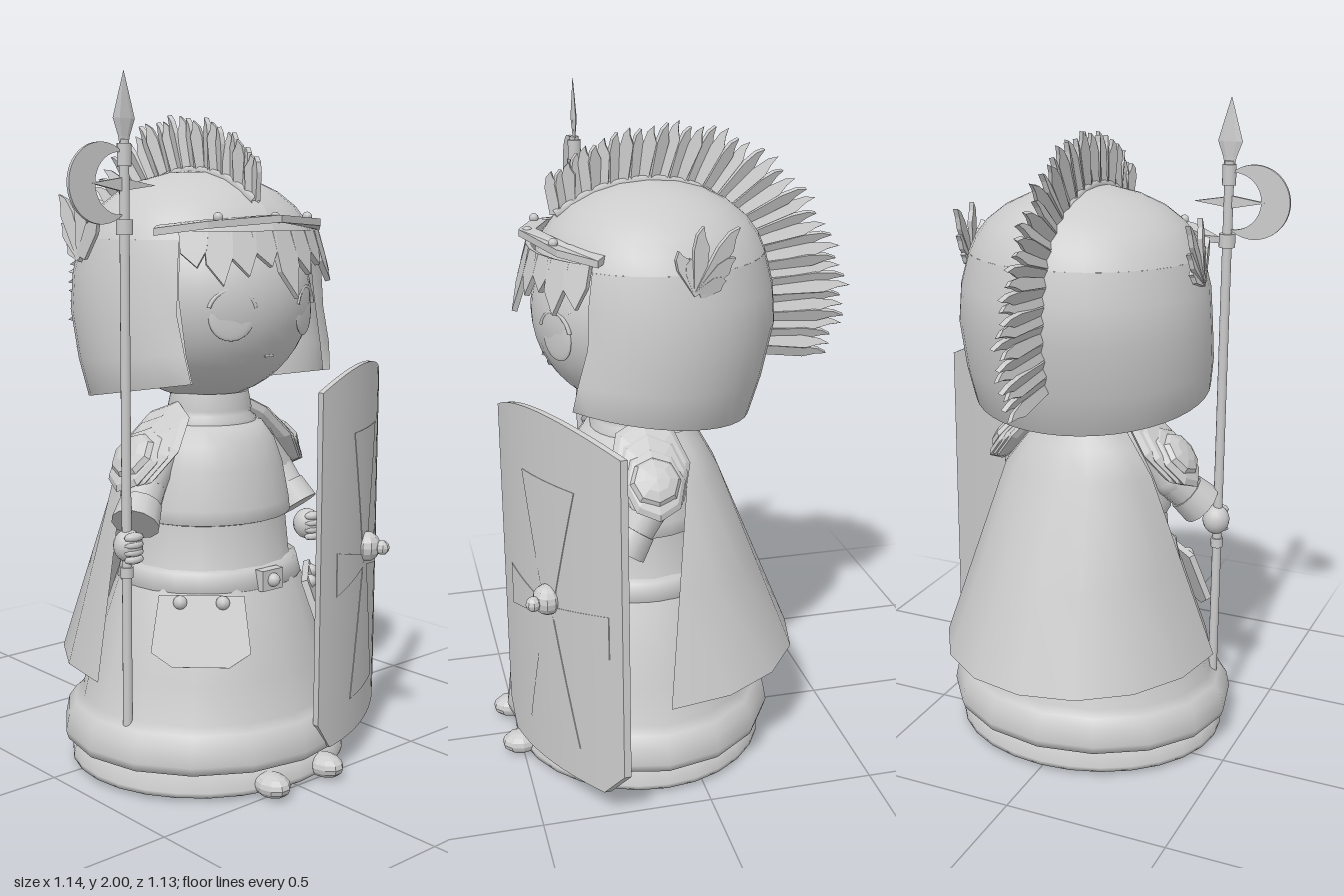
import * as THREE from 'three';

const V = (x, y, z) => new THREE.Vector3(x, y, z);
const smooth = new THREE.MeshStandardMaterial({ color: 0xcccccc, side: THREE.DoubleSide });
const flat = new THREE.MeshStandardMaterial({ color: 0xcccccc, side: THREE.DoubleSide, flatShading: true });

export function createModel() {
  const root = new THREE.Group();

  const add = (name, geo, pos = [0, 0, 0], mat = smooth, parent = root) => {
    const m = new THREE.Mesh(geo, mat);
    m.name = name;
    m.position.set(...pos);
    parent.add(m);
    return m;
  };
  const group = (name) => {
    const g = new THREE.Group();
    g.name = name;
    root.add(g);
    return g;
  };
  const lathe = (pts, seg, start = 0, len = Math.PI * 2) =>
    new THREE.LatheGeometry(pts.map((p) => new THREE.Vector2(...p)), seg, start, len);
  const plate = (pts, depth) =>
    new THREE.ExtrudeGeometry(new THREE.Shape(pts.map((p) => new THREE.Vector2(...p))), { depth, bevelEnabled: false });
  const ball = (name, pos, r, scale = [1, 1, 1], parent = root, mat = smooth, w = 16, h = 12) => {
    const m = add(name, new THREE.SphereGeometry(r, w, h), pos, mat, parent);
    m.scale.set(...scale);
    return m;
  };
  const limb = (name, a, b, ra, rb, parent = root, seg = 12) => {
    const d = b.clone().sub(a);
    const m = add(name, new THREE.CylinderGeometry(rb, ra, d.length(), seg), a.clone().add(b).multiplyScalar(0.5).toArray(), smooth, parent);
    m.quaternion.setFromUnitVectors(V(0, 1, 0), d.normalize());
  };
  const warp = (geo, fn) => {
    const p = geo.attributes.position, v = V(0, 0, 0);
    for (let i = 0; i < p.count; i++) {
      fn(v.fromBufferAttribute(p, i));
      p.setXYZ(i, v.x, v.y, v.z);
    }
    geo.computeVertexNormals();
    return geo;
  };
  // Pointed feather from base to tip, its broad side facing x, turned by twist
  const feather = (name, base, tip, w, parent, twist = 0) => {
    const dir = tip.clone().sub(base), l = dir.length();
    dir.normalize();
    const geo = plate([[-w * 0.35, 0], [w * 0.35, 0], [w * 0.5, l * 0.7], [w * 0.2, l * 0.86], [w * 0.1, l], [-w * 0.3, l * 0.88], [-w * 0.5, l * 0.65]], 0.014);
    geo.translate(0, 0, -0.007);
    geo.rotateY(twist);
    const m = add(name, geo, base.toArray(), flat, parent);
    const n = V(1, 0, 0).addScaledVector(dir, -dir.x).normalize();
    m.quaternion.setFromRotationMatrix(new THREE.Matrix4().makeBasis(dir.clone().cross(n), dir, n));
  };

  // Base, dress and neck
  const oval = (name, pts, seg = 24) => add(name, lathe(pts, seg), [0, 0, 0.115]).scale.set(1, 1, 0.91);
  oval('base', [[0, 0.012], [0.43, 0.012], [0.43, 0.025], [0.415, 0.085], [0, 0.085]], 28);
  oval('skirt', [[0.4, 0.08], [0.45, 0.085], [0.458, 0.11], [0.448, 0.16], [0.425, 0.19], [0.4, 0.21], [0.375, 0.32], [0.335, 0.43], [0.29, 0.56], [0.25, 0.62], [0.235, 0.76]], 16);
  oval('tunic', [[0.235, 0.745], [0.252, 0.75], [0.248, 0.79], [0.226, 0.9], [0.2, 0.97], [0.165, 1.015], [0.11, 1.03]]);
  oval('belt', [[0.26, 0.56], [0.288, 0.562], [0.274, 0.615], [0.24, 0.62]]);
  oval('neck', [[0.14, 1.0], [0.145, 1.03], [0.125, 1.045], [0.13, 1.06], [0.12, 1.11]]);
  add('buckle', new THREE.BoxGeometry(0.08, 0.06, 0.03), [0, 0.587, 0.375]);
  ball('buckleStud', [0, 0.587, 0.392], 0.02);

  for (const s of [-1, 1]) {
    ball('foot', [s * 0.108, 0.035, 0.505], 0.05, [0.95, 0.7, 1.2], root, flat, 10, 8);
    // Hanging belt flaps
    const flap = group('beltFlap');
    flap.position.set(s * 0.225, 0.465, 0.335);
    flap.rotation.set(-0.35, s * 0.75, 0, 'YXZ');
    add('flapPanel', plate([[-0.12, 0.1], [0.12, 0.1], [0.14, -0.06], [0.08, -0.1], [-0.08, -0.1], [-0.14, -0.06]], 0.02), [0, 0, 0], flat, flap);
    for (const x of [-0.06, 0.06]) ball('flapStud', [x, 0.08, 0.02], 0.02, [1, 1, 1], flap, smooth, 8, 6);

    // Shoulder guards: long overlapping plates sloping outward
    const guard = group('shoulderGuard');
    guard.position.set(s * 0.235, 0.95, 0.115);
    guard.rotation.z = s * -0.88;
    for (let i = 0; i < 3; i++)
      ball('guardPlate', [s * (i * 0.03 - 0.02), i * 0.012, 0], 0.12, [1.3 - i * 0.18, 0.22, 1 - i * 0.12], guard, flat, 8, 6);
    ball('guardKnob', [s * 0.04, 0.04, 0], 0.075, [1, 0.4, 1], guard, flat, 8, 6);
  }

  // Arms: one grips the staff, one holds the shield
  const arm = (name, shoulder, elbow, wrist, hand) => {
    const g = group(name);
    limb('upperArm', shoulder, elbow, 0.07, 0.062, g);
    limb('sleeve', elbow, wrist, 0.06, 0.055, g);
    limb('cuff', elbow.clone().lerp(wrist, 0.5), wrist, 0.062, 0.07, g);
    ball('elbow', elbow.toArray(), 0.061, [1, 1, 1], g);
    ball('hand', hand.toArray(), 0.042, [1, 1.1, 1], g);
    for (let i = 0; i < 4; i++) ball('finger', [hand.x, hand.y - 0.035 + i * 0.021, hand.z + 0.026], 0.016, [2.1, 0.8, 1.2], g, smooth, 8, 6);
  };
  arm('rightArm', V(-0.18, 0.97, 0.115), V(-0.255, 0.86, 0.13), V(-0.34, 0.765, 0.185), V(-0.382, 0.715, 0.205));
  arm('leftArm', V(0.18, 0.97, 0.115), V(0.25, 0.85, 0.13), V(0.275, 0.735, 0.21), V(0.28, 0.685, 0.25));

  // Cape, open at the front
  const cape = lathe([[1, 0.3], [1, 0.6], [1, 0.9], [1, 0.98], [1, 1.03]], 8, Math.PI / 2, Math.PI);
  add('cape', warp(cape, (v) => {
    const t = Math.min((v.y - 0.3) / 0.6, 1), k = Math.max(0, v.y - 0.9) * 0.75;
    v.x = v.x * (0.44 - 0.2 * t - k) + 0.02 * (1 - t);
    v.z = 0.11 - 0.1 * t + k * 0.25 + v.z * (0.49 - 0.345 * t - k * 0.5);
  }));

  // Head and face
  ball('head', [-0.003, 1.385, 0.09], 0.31, [1, 0.97, 1.03], root, smooth, 32, 24);
  for (const s of [-1, 1]) {
    const eye = ball('eye', [s * 0.14, 1.345, 0.36], 0.066, [1, 1, 0.13]);
    eye.rotation.y = s * 0.46;
    const lash = add('eyelash', new THREE.TorusGeometry(0.07, 0.006, 6, 14, Math.PI * 0.8), [s * 0.141, 1.35, 0.365]);
    lash.rotation.set(0, s * 0.46, 0.3);
    const brow = add('eyebrow', new THREE.TorusGeometry(0.07, 0.005, 6, 10, Math.PI * 0.6), [s * 0.14, 1.39, 0.362]);
    brow.rotation.set(-0.2, s * 0.46, 0.6);
  }
  add('mouth', new THREE.BoxGeometry(0.03, 0.006, 0.01), [0, 1.23, 0.362]);

  // Fringe of pointed locks
  const fringe = group('fringe');
  for (let i = 0; i < 9; i++) {
    const a = (i - 4) * 0.2, l = i === 4 ? 0.19 : 0.1 + 0.025 * ((i * 2) % 3);
    const lock = add('lock', plate([[-0.04, 0], [0.04, 0], [0.038, -l * 0.5], [0.012, -l], [-0.034, -l * 0.6]], 0.016), [0.32 * Math.sin(a), 1.575, 0.09 + 0.31 * Math.cos(a)], flat, fringe);
    lock.rotation.set(-0.28, a, 0, 'YXZ');
  }

  // Helmet: closed dome above sides that are open over the face
  const shape = (v) => {
    const t = Math.max(0, (1.35 - v.y) / 0.27);
    v.z = v.z * 0.945 + 0.06 + 0.055 * t;
    v.y += 0.17 * t * (v.z + 0.18);
  };
  const gap = 0.84;
  add('helmetDome', warp(lathe([[0.349, 1.555], [0.329, 1.6], [0.294, 1.645], [0.24, 1.687], [0.17, 1.72], [0.09, 1.741], [0, 1.748]], 32), shape));
  add('helmetSides', warp(lathe([[0.335, 1.555], [0.352, 1.4], [0.352, 1.2], [0.344, 1.08], [0.364, 1.08], [0.378, 1.2], [0.382, 1.35], [0.374, 1.46], [0.349, 1.555]], 32, gap, Math.PI * 2 - gap * 2), shape));

  // Visor band with rivets
  const visor = plate([[-0.34, 0.27], [-0.23, 0.365], [-0.025, 0.435], [0.2, 0.365], [0.295, 0.27], [0.25, 0.235], [0.16, 0.325], [-0.025, 0.385], [-0.19, 0.325], [-0.3, 0.235]], 0.02);
  visor.rotateX(Math.PI / 2);
  add('visor', warp(visor, (v) => { v.y += 1.622 - 0.3 * v.x * v.x; }), [0, 0, 0], flat);
  for (const [x, z] of [[-0.195, 0.365], [0.145, 0.365], [-0.025, 0.41]]) ball('rivet', [x, 1.616, z], 0.014, [1, 1, 1], root, smooth, 8, 6);

  // Crest of feathers along the helmet's centre line
  const crest = group('crest');
  const curve = (pts) => new THREE.CatmullRomCurve3(pts.map(([z, y]) => V(-0.022, y, z)));
  const roots = curve([[0.33, 1.66], [0.2, 1.725], [0.04, 1.745], [-0.1, 1.71], [-0.2, 1.62], [-0.265, 1.5], [-0.28, 1.36], [-0.25, 1.22]]);
  const tips = curve([[0.34, 1.78], [0.2, 1.87], [0, 1.91], [-0.2, 1.875], [-0.4, 1.73], [-0.525, 1.53], [-0.565, 1.36], [-0.51, 1.19]]);
  add('crestRidge', new THREE.TubeGeometry(roots, 32, 0.016, 6), [0, 0, 0], smooth, crest);
  for (let i = 0; i < 40; i++) {
    const t = i / 39, base = roots.getPoint(t), tip = tips.getPoint(t).lerp(base, 0.03 * ((i * 3) % 4));
    tip.x += ((i % 3) - 1) * 0.007;
    feather('crestFeather', base, tip, 0.038, crest, i % 2 ? 0.35 : -0.35);
  }

  // Small feather tufts on the helmet's sides
  for (const s of [-1, 1]) {
    const tuft = group('sideTuft'), x = s * 0.37 - 0.015;
    for (const [z, y] of [[0.068, 1.62], [0.035, 1.6], [0, 1.685], [-0.1, 1.68], [-0.09, 1.6], [-0.065, 1.54]])
      feather('tuftFeather', V(x, 1.505, 0.01), V(x - s * 0.01, y, z), 0.045, tuft, 0.2);
  }

  // Curved shield with flared cross, boss and inner grip
  const shield = group('shield');
  const X0 = 0.055, W = 0.515;
  const bend = (x) => {
    const u = (x - X0) / W;
    return 0.515 - 0.25 * u + 0.2 * u * (1 - u);
  };
  add('shieldPlate', warp(new THREE.BoxGeometry(1, 1, 0.02, 18, 1, 1), (v) => {
    const k = Math.abs(v.x * 2);
    v.x = X0 + W * (v.x + 0.5);
    v.y = v.y > 0 ? 1.195 - 0.06 * k * k : 0.09 + 0.08 * Math.max(0, (k - 0.78) / 0.22);
    v.z += bend(v.x);
  }), [0, 0, 0], smooth, shield);
  for (let i = 0; i < 4; i++) {
    const c = Math.cos(i * Math.PI / 2), s = Math.sin(i * Math.PI / 2), len = i % 2 ? 0.4 : 0.2;
    add('crossArm', warp(new THREE.BoxGeometry(1, 1, 0.008, 8, 4, 1), (v) => {
      const r = (v.x + 0.5) * len, w = v.y * (0.03 + (i % 2 ? 0.18 : 0.1) * (v.x + 0.5));
      v.x = 0.335 + c * r - s * w;
      v.y = 0.6 + s * r + c * w;
      v.z += bend(v.x) + 0.008;
    }), [0, 0, 0], smooth, shield);
  }
  const boss = ball('boss', [0.34, 0.64, bend(0.34) + 0.018], 0.045, [1, 1, 0.9], shield, flat, 10, 8);
  boss.rotation.y = 0.45;
  ball('bossTip', [0.36, 0.64, bend(0.34) + 0.06], 0.022, [1, 1, 1], shield, flat, 8, 6);
  ball('grip', [0.325, 0.64, bend(0.325) - 0.02], 0.022, [1, 1, 1], shield, flat, 8, 6);

  // Staff with spear point, crescent blade and collars
  const staff = group('staff');
  const sx = -0.387, sz = 0.205;
  limb('shaft', V(sx, 0.17, sz), V(sx, 1.82, sz), 0.014, 0.014, staff, 10);
  for (const [y, r, h] of [[1.78, 0.02, 0.06], [1.59, 0.024, 0.04], [0.64, 0.019, 0.03]])
    add('collar', new THREE.CylinderGeometry(r, r, h, 10), [sx, y, sz], smooth, staff);
  add('spearPoint', lathe([[0.014, 1.8], [0.02, 1.83], [0.037, 1.875], [0.018, 1.94], [0, 2]], 6, Math.PI / 6), [sx, 0, sz], flat, staff).scale.z = 0.2;
  const moon = new THREE.Shape();
  moon.absarc(-0.465, 1.705, 0.107, 0.85, Math.PI * 2 - 0.85, false);
  moon.absarc(-0.405, 1.705, 0.082, Math.PI * 2 - 1.45, 1.45, true);
  add('crescentBlade', new THREE.ExtrudeGeometry(moon, { depth: 0.01, bevelEnabled: false, curveSegments: 20 }), [0, 0, sz - 0.005], flat, staff);
  add('bladeSpike', plate([[-0.5, 1.705], [-0.4, 1.72], [-0.285, 1.7], [-0.4, 1.685]], 0.012), [0, 0, sz - 0.006], flat, staff);

  return root;
}
